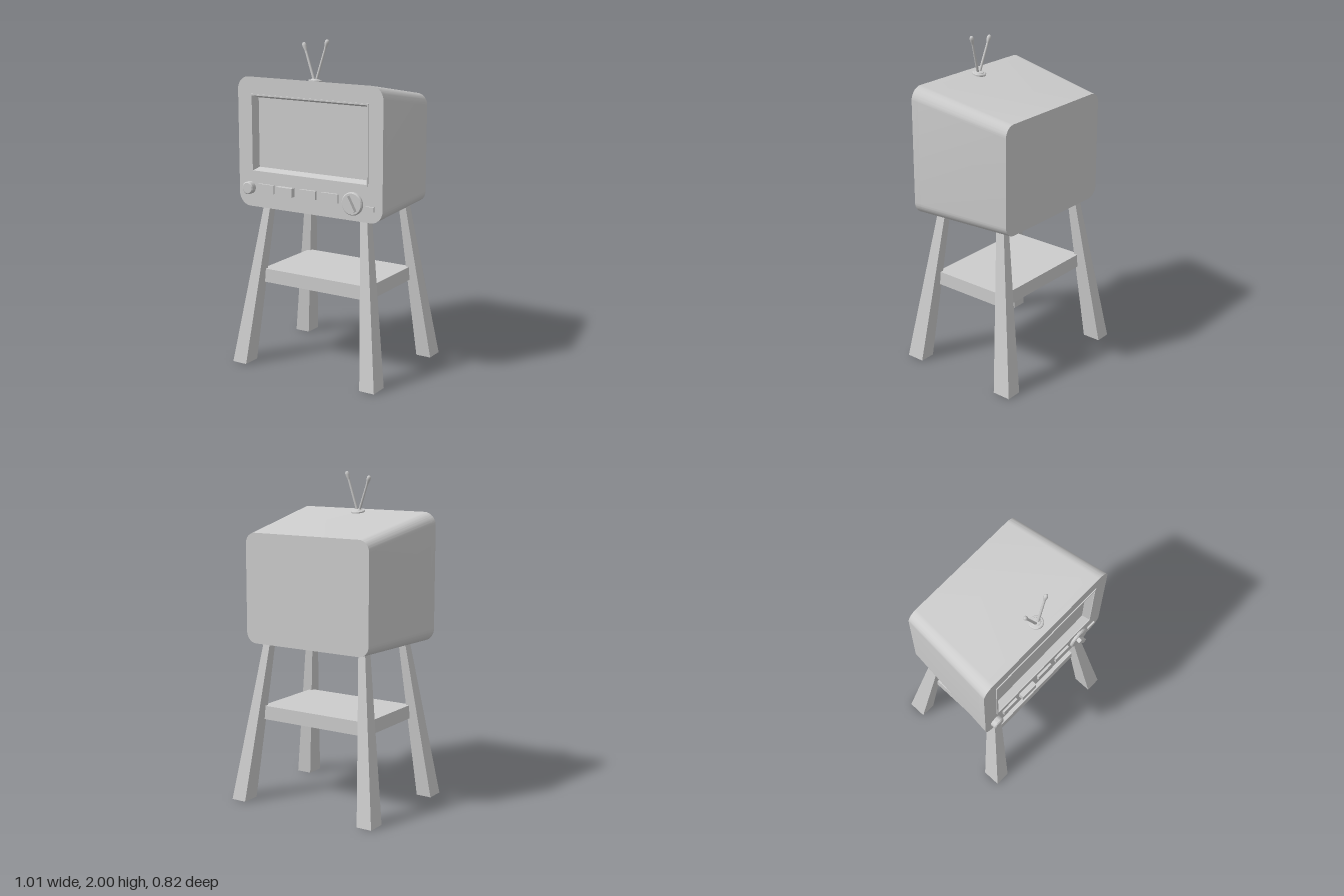
import * as THREE from 'three';
import { toCreasedNormals } from 'three/addons/utils/BufferGeometryUtils.js';

const grey = new THREE.MeshStandardMaterial({ color: 0xcccccc });

const BOTTOM = 0.985, TOP = 1.768, FRONT = 0.315, BACK = -0.33, SCREEN_Z = 0.272;
const SCREEN_Y = 1.432; // centre height of the screen

export function createModel() {
  const model = new THREE.Group();

  function add(parent, name, geometry, x = 0, y = 0, z = 0) {
    const mesh = new THREE.Mesh(geometry, grey);
    mesh.name = name;
    mesh.position.set(x, y, z);
    parent.add(mesh);
    return mesh;
  }

  function rectPath(PathType, halfW, halfH, cy) {
    return new PathType([[-1, -1], [1, -1], [1, 1], [-1, 1]]
      .map(([sx, sy]) => new THREE.Vector2(sx * halfW, cy + sy * halfH)));
  }

  function cabinetOutline() {
    const s = new THREE.Shape(), w = 0.498, r = 0.078;
    s.absarc(w - r, BOTTOM + r, r, -Math.PI / 2, 0);
    s.absarc(w - r, TOP - r, r, 0, Math.PI / 2);
    s.absarc(-w + r, TOP - r, r, Math.PI / 2, Math.PI);
    s.absarc(-w + r, BOTTOM + r, r, Math.PI, Math.PI * 1.5);
    s.closePath();
    return s;
  }

  // Extrudes a cabinet slice, narrowing it towards the back; the screen opening narrows inwards
  function cabinetSlice(shape, z0, z1) {
    const g = new THREE.ExtrudeGeometry(shape, { depth: z1 - z0, bevelEnabled: false, curveSegments: 10 });
    g.translate(0, 0, z0);
    const p = g.attributes.position;
    for (let i = 0; i < p.count; i++) {
      const x = p.getX(i), y = p.getY(i), z = p.getZ(i);
      const t = (FRONT - z) / (FRONT - BACK);
      if (Math.abs(x) < 0.41 && Math.abs(y - SCREEN_Y) < 0.24) {
        const d = z < FRONT - 0.01 ? 0.016 : 0;
        p.setXY(i, x - Math.sign(x) * d, y - Math.sign(y - SCREEN_Y) * d);
      } else {
        p.setXY(i, x * (1 - 0.132 * t), BOTTOM + (y - BOTTOM) * (1 - 0.147 * t));
      }
    }
    return toCreasedNormals(g, 0.6);
  }

  // Cabinet: solid rear plus a front panel with the screen opening
  const cabinet = new THREE.Group();
  cabinet.name = 'cabinet';
  model.add(cabinet);
  add(cabinet, 'cabinetRear', cabinetSlice(cabinetOutline(), BACK, SCREEN_Z));
  const panel = cabinetOutline();
  panel.holes.push(rectPath(THREE.Path, 0.395, 0.226, SCREEN_Y));
  add(cabinet, 'frontPanel', cabinetSlice(panel, SCREEN_Z, FRONT));

  // Thin trim around the screen
  const trim = rectPath(THREE.Shape, 0.404, 0.235, SCREEN_Y);
  trim.holes.push(rectPath(THREE.Path, 0.395, 0.226, SCREEN_Y));
  add(cabinet, 'screenTrim', new THREE.ExtrudeGeometry(trim, { depth: 0.006, bevelEnabled: false }), 0, 0, FRONT);

  // Controls
  const controls = new THREE.Group();
  controls.name = 'controls';
  model.add(controls);

  function knob(name, x, y, r, depth) {
    const b = 0.006;
    const profile = [[r, -0.01], [r, depth - b], [r - b, depth], [0, depth]].map(([a, h]) => new THREE.Vector2(a, h));
    const g = toCreasedNormals(new THREE.LatheGeometry(profile, 32), 0.6);
    add(controls, name, g.rotateX(Math.PI / 2), x, y, FRONT);
  }
  function button(name, x, y, w, h, depth) {
    return add(controls, name, new THREE.BoxGeometry(w, h, depth + 0.01), x, y, FRONT + (depth - 0.01) / 2);
  }

  knob('volumeKnob', -0.417, 1.1, 0.038, 0.037);
  [-0.297, -0.155, 0, 0.152].forEach((x, i) =>
    button('pushButton', x, 1.104, 0.112, 0.053, i === 1 ? 0.032 : 0.014));
  knob('channelDial', 0.303, 1.086, 0.068, 0.018);
  button('dialGrip', 0.303, 1.086, 0.026, 0.098, 0.043).rotation.z = 0.5;
  button('smallButton', 0.42, 1.068, 0.055, 0.027, 0.012);

  // Four splayed legs, thicker at the foot
  for (const sx of [-1, 1]) {
    for (const sz of [-1, 1]) {
      const g = new THREE.BoxGeometry(1, 1, 1);
      const p = g.attributes.position;
      for (let i = 0; i < p.count; i++) {
        const up = p.getY(i) > 0;
        const [cx, hw, cz, hd] = up ? [0.339, 0.023, 0.226, 0.028] : [0.456, 0.049, 0.351, 0.058];
        p.setXYZ(i, sx * cx + Math.sign(p.getX(i)) * hw, up ? BOTTOM + 0.01 : 0,
          sz * cz + Math.sign(p.getZ(i)) * hd);
      }
      g.computeVertexNormals();
      add(model, 'leg', g);
    }
  }

  // Shelf between the legs
  add(model, 'shelf', new THREE.BoxGeometry(0.75, 0.085, 0.52), 0, 0.542, 0);

  // Antenna: tilted base disc and two rods with long bulb tips
  const antenna = new THREE.Group();
  antenna.name = 'antenna';
  model.add(antenna);
  const disc = [[0.042, -0.008], [0.042, 0.007], [0.037, 0.011], [0.028, 0.012], [0.024, 0.016], [0, 0.018]]
    .map(([r, h]) => new THREE.Vector2(r, h));
  add(antenna, 'antennaBase', toCreasedNormals(new THREE.LatheGeometry(disc, 32), 0.5), 0, 1.754, 0.235)
    .rotation.x = -0.177;

  for (const [x, y] of [[-0.088, 1.977], [0.078, 2]]) {
    const start = new THREE.Vector3(Math.sign(x) * 0.008, 1.764, 0.238);
    const end = new THREE.Vector3(x, y, 0.225);
    const length = start.distanceTo(end);
    const profile = [[0, 0], [0.008, 0], [0.007, length - 0.055], [0.008, length - 0.048], [0.013, length - 0.022],
      [0.012, length - 0.009], [0.007, length - 0.002], [0, length]].map(([r, h]) => new THREE.Vector2(r, h));
    add(antenna, 'antennaRod', new THREE.LatheGeometry(profile, 16), start.x, start.y, start.z)
      .quaternion.setFromUnitVectors(new THREE.Vector3(0, 1, 0), end.sub(start).normalize());
  }

  return model;
}
